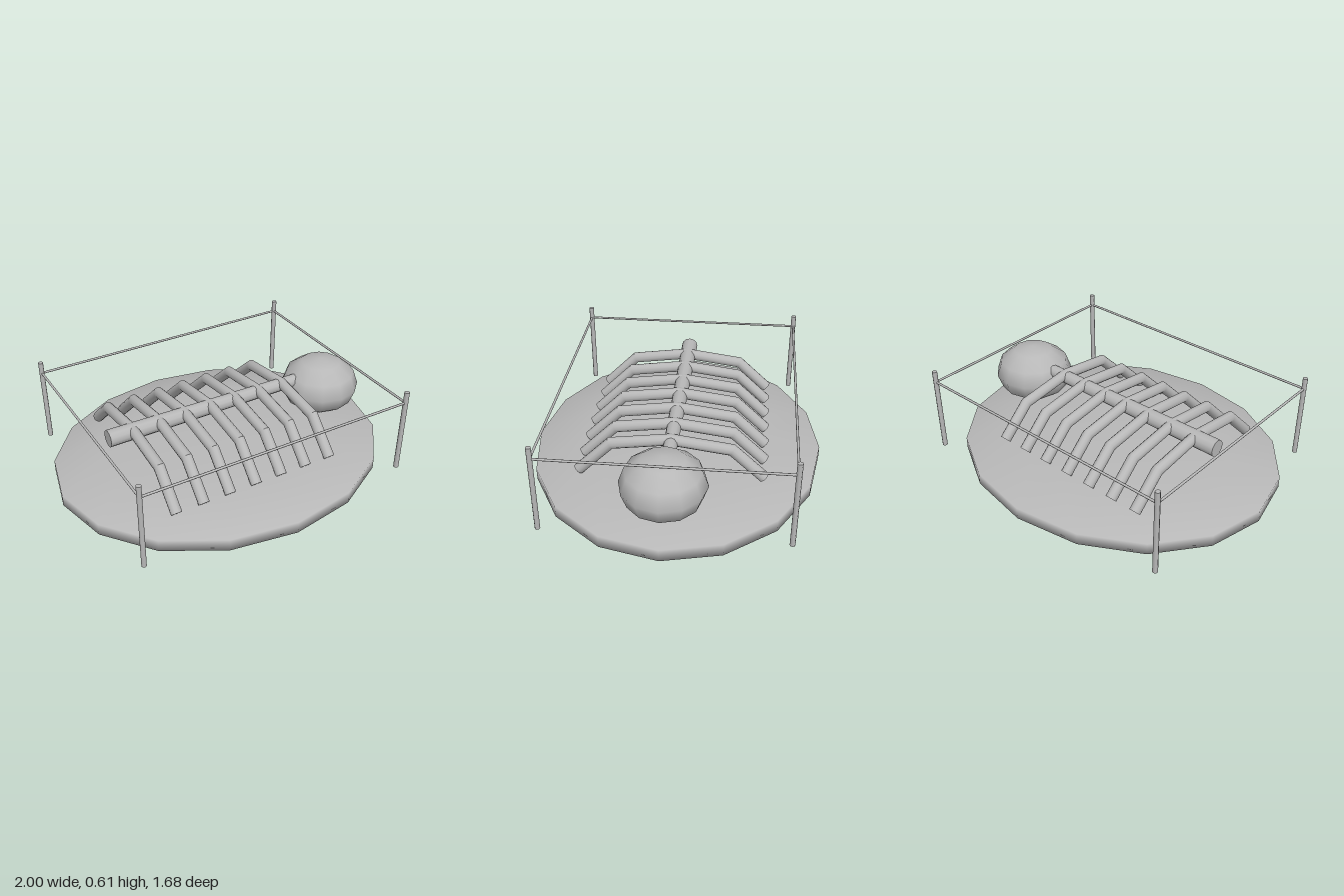
import * as THREE from 'three';
import { toCreasedNormals } from 'three/addons/utils/BufferGeometryUtils.js';

// Tube with mitred bends, following [z, y] points in a plane of constant x
function bentRod(points, radius) {
  const last = points.length - 1;
  const geo = new THREE.CylinderGeometry(radius, radius, 1, 12, last);
  const p = points.map(([z, y]) => new THREE.Vector3(0, y, z));
  const normalOf = (i) => {
    const d = p[i].clone().sub(p[i + 1]).normalize();
    return new THREE.Vector3(0, -d.z, d.y);
  };
  const sides = p.map((_, i) => {
    const a = normalOf(Math.max(i - 1, 0));
    const b = normalOf(Math.min(i, last - 1));
    return a.clone().add(b).divideScalar(1 + a.dot(b));
  });
  const pos = geo.attributes.position;
  for (let i = 0; i < pos.count; i++) {
    const k = Math.round((0.5 - pos.getY(i)) * last);
    const v = p[k].clone().addScaledVector(sides[k], pos.getZ(i));
    pos.setXYZ(i, pos.getX(i), v.y, v.z);
  }
  return toCreasedNormals(geo, 0.6);
}

export function createModel() {
  const model = new THREE.Group();
  model.name = 'skeletonDisplay';
  const stone = new THREE.MeshStandardMaterial({ color: 0xb8b8b8 });
  stone.name = 'plain grey';

  const add = (name, geo, x, y, z, parent = model) => {
    const mesh = new THREE.Mesh(geo, stone);
    mesh.name = name;
    mesh.position.set(x, y, z);
    parent.add(mesh);
    return mesh;
  };

  // Flattened mound with a blunt rim
  const mound = new THREE.SphereGeometry(1, 16, 5);
  mound.scale(1.051, 0.113, 0.884);
  add('mound', mound, 0, 0.113, 0);

  // Skull, slightly squashed
  const skull = new THREE.SphereGeometry(1, 12, 6);
  skull.scale(0.24, 0.175, 0.236);
  add('skull', skull, 0.722, 0.355, 0.005);

  // Spine, thinner towards the skull
  const spine = new THREE.CylinderGeometry(0.038, 0.05, 1.26, 12);
  spine.rotateZ(-Math.PI / 2);
  add('spine', spine, -0.07, 0.422, -0.004);

  // Ribs arching over the spine
  const ribs = new THREE.Group();
  ribs.name = 'ribs';
  model.add(ribs);
  const ribGeo = bentRod(
    [[0.515, 0.207], [0.33, 0.392], [0, 0.437], [-0.335, 0.392], [-0.515, 0.225]], 0.032);
  for (let i = 0; i < 7; i++) add('rib', ribGeo, -0.555 + i * 0.165, 0, 0, ribs);

  // Barrier of four posts with thin rails
  const barrier = new THREE.Group();
  barrier.name = 'barrier';
  barrier.position.z = -0.004;
  model.add(barrier);
  const X = 0.823, Z = 0.668;
  const post = new THREE.CylinderGeometry(0.015, 0.015, 0.515, 8);
  const longRail = new THREE.CylinderGeometry(0.007, 0.007, 2 * X, 8).rotateZ(Math.PI / 2);
  const shortRail = new THREE.CylinderGeometry(0.007, 0.007, 2 * Z, 8).rotateX(Math.PI / 2);
  for (const s of [-1, 1]) {
    for (const t of [-1, 1]) add('post', post, s * X, 0.3475, t * Z, barrier);
    add('longRail', longRail, 0, 0.535, s * Z, barrier);
    add('shortRail', shortRail, s * X, 0.535, 0, barrier);
  }
  return model;
}
